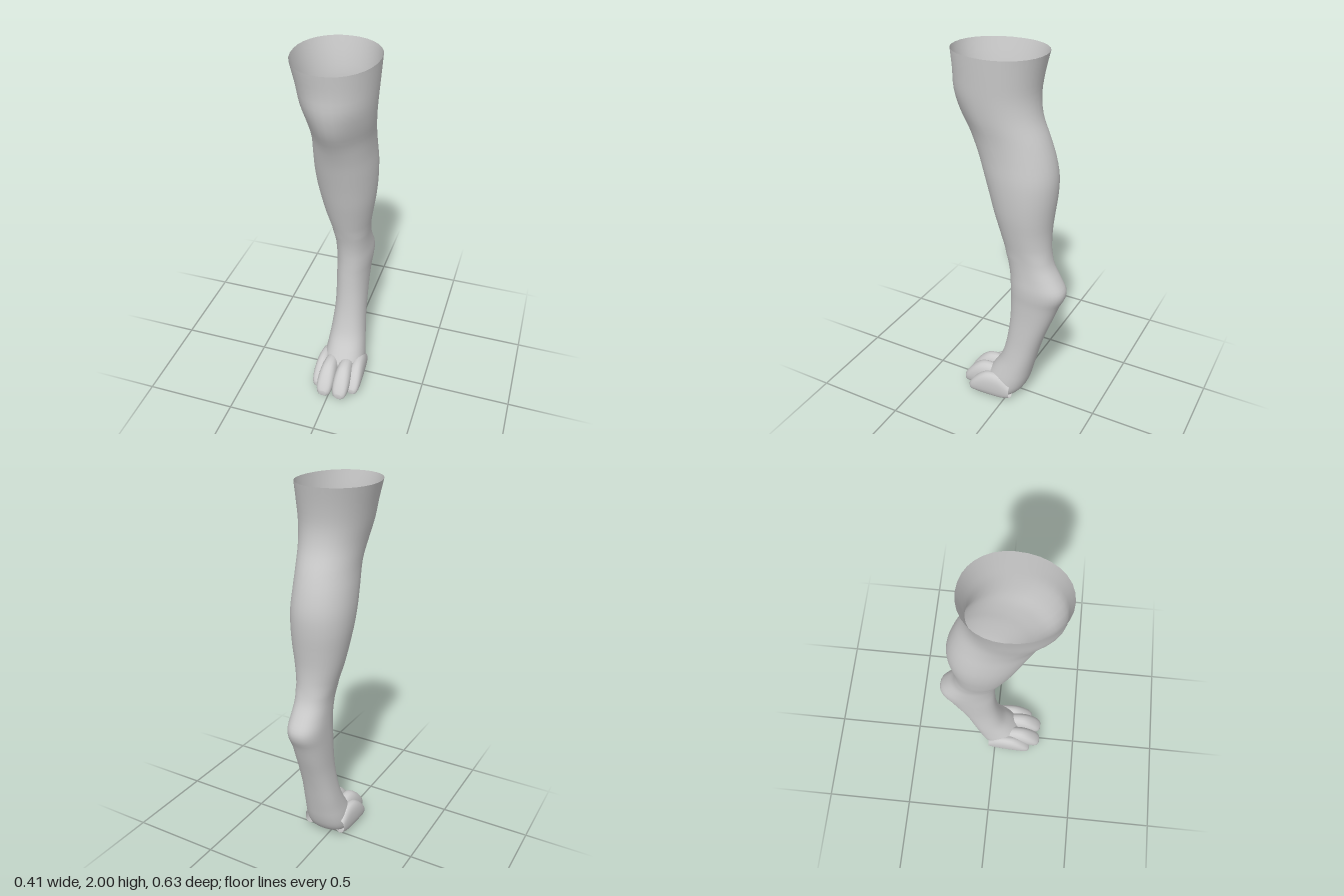
import * as THREE from 'three';

const material = new THREE.MeshStandardMaterial({ color: 0xcccccc, side: THREE.DoubleSide });

// Smoothly interpolate a table of section values
function sample(rows, t) {
  const n = rows.length - 1;
  const i = Math.min(Math.floor(t * n), n - 1), f = t * n - i;
  const r = k => rows[Math.max(0, Math.min(n, k))];
  return rows[i].map((b, k) => {
    const a = r(i - 1)[k], c = r(i + 1)[k], d = r(i + 2)[k];
    return b + 0.5 * f * (c - a + f * (2 * a - 5 * b + 4 * c - d + f * (3 * (b - c) + d - a)));
  });
}

// Skin closed rings; optionally close the last ring with a centre vertex
function loft(rows, steps, sides, point) {
  const pos = [], index = [];
  for (let i = 0; i <= steps; i++) {
    const s = sample(rows, i / steps);
    for (let j = 0; j < sides; j++) pos.push(...point(s, j / sides * Math.PI * 2));
  }
  for (let i = 0; i < steps; i++) for (let j = 0; j < sides; j++) {
    const a = i * sides + j, b = i * sides + (j + 1) % sides;
    index.push(a, b, a + sides, b, b + sides, a + sides);
  }
  const last = steps * sides, centre = [0, 0, 0];
  for (let j = 0; j < sides; j++) for (let k = 0; k < 3; k++) centre[k] += pos[(last + j) * 3 + k] / sides;
  pos.push(...centre);
  for (let j = 0; j < sides; j++) index.push(last + j, last + (j + 1) % sides, last + sides);
  const g = new THREE.BufferGeometry();
  g.setAttribute('position', new THREE.Float32BufferAttribute(pos, 3));
  g.setIndex(index);
  g.computeVertexNormals();
  return g;
}

const power = (v, e) => Math.sign(v) * Math.abs(v) ** e;

export function createModel() {
  const group = new THREE.Group();
  const add = (name, geometry) => {
    const m = new THREE.Mesh(geometry, material);
    m.name = name;
    group.add(m);
  };

  // Open thigh, knee, calf, hock and foot: y, min x, max x, front z, back z
  const legRows = [
    [2.0, -0.205, 0.203, 0.317, -0.165],
    [1.9, -0.18, 0.197, 0.305, -0.145],
    [1.8, -0.16, 0.19, 0.302, -0.135],
    [1.7, -0.14, 0.18, 0.275, -0.15],
    [1.6, -0.132, 0.168, 0.222, -0.19],
    [1.5, -0.138, 0.166, 0.18, -0.222],
    [1.4, -0.142, 0.17, 0.148, -0.24],
    [1.3, -0.136, 0.168, 0.118, -0.238],
    [1.2, -0.12, 0.16, 0.09, -0.227],
    [1.1, -0.1, 0.145, 0.06, -0.218],
    [1.0, -0.075, 0.13, 0.03, -0.222],
    [0.92, -0.06, 0.124, 0.008, -0.24],
    [0.85, -0.058, 0.126, -0.004, -0.28],
    [0.79, -0.059, 0.131, -0.008, -0.314],
    [0.74, -0.059, 0.13, -0.009, -0.312],
    [0.68, -0.058, 0.124, -0.009, -0.283],
    [0.58, -0.056, 0.12, -0.006, -0.246],
    [0.48, -0.055, 0.12, 0.003, -0.208],
    [0.38, -0.06, 0.122, 0.02, -0.175],
    [0.28, -0.069, 0.129, 0.049, -0.148],
    [0.2, -0.077, 0.138, 0.095, -0.127],
    [0.14, -0.085, 0.145, 0.13, -0.111],
    [0.08, -0.088, 0.147, 0.15, -0.088],
    [0.035, -0.08, 0.14, 0.15, -0.055],
    [0.008, -0.055, 0.115, 0.13, -0.015],
    [0.0, -0.03, 0.09, 0.1, 0.02],
  ];
  add('leg', loft(legRows, 75, 32, ([y, x0, x1, front, back], a) => {
    const c = Math.cos(a), s = Math.sin(a);
    const mid = back + (front - back) * 0.46;
    const e = y < 1 ? 0.88 : 0.96;
    let z = mid + (s > 0 ? front - mid : mid - back) * power(s, e);
    const x = (x0 + x1) / 2 + (x1 - x0) / 2 * power(c, e);
    // Kneecap stands out from the hollows on either side
    if (s > 0) z -= 0.02 * Math.exp(-(((y - 1.68) / 0.12) ** 2)) * Math.sin(2 * a) ** 2;
    return [x, y, z];
  }));

  // Toes, root to tip: z, width factor, bottom y, top y
  const toeRows = [
    [0.02, 0.7, 0.03, 0.12],
    [0.07, 0.85, 0.012, 0.165],
    [0.12, 0.94, 0.007, 0.178],
    [0.17, 1.0, 0.007, 0.172],
    [0.21, 1.0, 0.008, 0.148],
    [0.245, 0.92, 0.01, 0.112],
    [0.268, 0.74, 0.014, 0.08],
    [0.28, 0.4, 0.026, 0.058],
  ];
  // centre x, half width, z shift, height factor, outward splay
  const toes = [
    ['outerToeRight', -0.073, 0.038, -0.06, 0.93, -0.003],
    ['middleToeRight', -0.02, 0.048, 0, 1, -0.004],
    ['middleToeLeft', 0.065, 0.048, 0, 1, 0.004],
    ['outerToeLeft', 0.126, 0.04, -0.06, 0.93, 0.003],
  ];
  for (const [name, cx, half, shift, height, splay] of toes) {
    add(name, loft(toeRows, 24, 20, ([z, w, y0, y1], a) => [
      cx + splay * (z / 0.28) + half * w * power(Math.cos(a), 0.85),
      (y0 + y1) / 2 * height + (y1 - y0) / 2 * height * power(Math.sin(a), 0.85),
      z + shift,
    ]));
  }
  return group;
}
